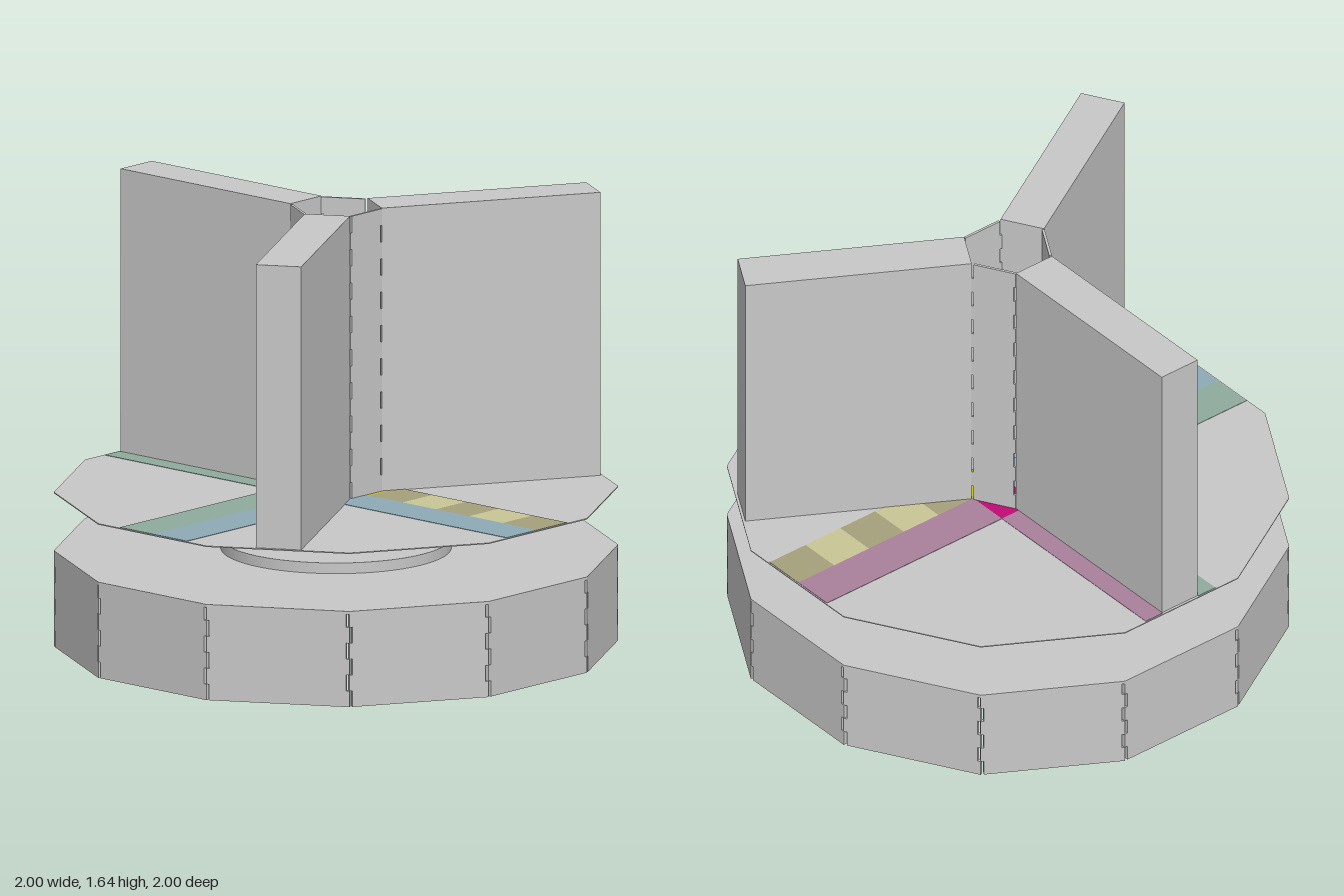
import * as THREE from 'three';

const paint = (name, color) => {
  const m = new THREE.MeshStandardMaterial({ color });
  m.name = name;
  return m;
};

export function createModel() {
  const root = new THREE.Group();
  const grey = paint('board grey', 0xc8c8c8);
  const green = paint('muted green', 0x8fac9d);
  const pink = paint('muted pink', 0xa9809a);
  const blue = paint('muted blue', 0x8eabb6);
  const sand = paint('light sand', 0xc9c595);
  const olive = paint('dark sand', 0xa5a07a);
  const magenta = paint('bright magenta', 0xbf0c75);
  const yellow = paint('bright yellow', 0xc8be12);

  const add = (name, geometry, material, parent = root) => {
    const mesh = new THREE.Mesh(geometry, material);
    mesh.name = name;
    parent.add(mesh);
    return mesh;
  };
  const box = (x0, x1, y0, y1, z0, z1) =>
    new THREE.BoxGeometry(x1 - x0, y1 - y0, z1 - z0)
      .translate((x0 + x1) / 2, (y0 + y1) / 2, (z0 + z1) / 2);

  // Flat-sided twelve-cornered plate with its flats facing the axes
  const twelveSided = (y0, y1) => {
    const g = new THREE.CylinderGeometry(1.035, 1.035, y1 - y0, 12)
      .rotateY(Math.PI / 12).translate(0, (y0 + y1) / 2, 0).toNonIndexed();
    g.computeVertexNormals();
    return g;
  };

  // Upright panel with interlocking fingers on both edges; outer face at z = 0
  const fingerPanel = (width, y0, y1, bands, cut, depth) => {
    const s = new THREE.Shape();
    const h = (y1 - y0) / bands, w = width / 2;
    const right = (i) => w - (i % 2 ? cut : 0);
    const left = (i) => -w + (i % 2 ? 0 : cut);
    s.moveTo(left(0), y0);
    for (let i = 0; i < bands; i++) {
      s.lineTo(right(i), y0 + i * h);
      s.lineTo(right(i), y0 + (i + 1) * h);
    }
    for (let i = bands - 1; i >= 0; i--) {
      s.lineTo(left(i), y0 + (i + 1) * h);
      s.lineTo(left(i), y0 + i * h);
    }
    return new THREE.ExtrudeGeometry(s, { depth, bevelEnabled: false }).translate(0, 0, -depth);
  };

  // Base: open underneath, twelve finger-jointed sides and a lid
  const side = fingerPanel(0.536, 0, 0.36, 6, 0.012, 0.015).translate(0, 0, 1);
  for (let i = 0; i < 12; i++) {
    add('baseSide', side, grey).rotation.y = (i * Math.PI) / 6;
  }
  add('baseLid', twelveSided(0.348, 0.36), grey);
  add('turntable', new THREE.CylinderGeometry(0.423, 0.423, 0.04, 64).translate(0, 0.38, 0), grey);

  // Stage plate
  add('stagePlate', twelveSided(0.576, 0.58), grey);

  // Floor markings, visible from both faces of the plate
  const mark = (name, x0, x1, z0, z1, material) =>
    add(name, box(x0, x1, 0.5745, 0.5815, z0, z1), material);
  const a = 0.165, e = 0.995;
  mark('greenBackStripe', -a, -0.085, -e, -a, green);
  mark('greenSideStripe', -e, -a, -a, 0, green);
  mark('greenCorner', -a, -0.085, -a, 0, green);
  mark('pinkBackStripe', 0.085, a, -e, -a, pink);
  mark('pinkSideStripe', a, e, -a, 0, pink);
  mark('blueSideStripe', -e, -a, 0, a, blue);
  mark('blueFrontStripe', -a, 0, a, e, blue);
  mark('blueCorner', -a, 0, 0, a, blue);
  mark('blueCentre', -0.085, 0, -a, 0, blue);
  mark('magentaCentre', 0, a, -a, 0, magenta);
  mark('yellowCentre', 0, a, 0, a, yellow);
  for (let i = 1; i < 6; i++) {
    const m = i % 2 ? olive : sand;
    const end = i === 5 ? e : (i + 1) * a;
    mark('sideCheck', i * a, end, 0, a, m);
    mark('frontCheck', 0, a, i * a, end, m);
  }

  // Three hollow-hub walls, each with tabs that pass through the plate
  const wall = box(-0.085, 0.085, 0.58, 1.645, -0.99, -0.149);
  const hubPanel = fingerPanel(0.172, 0.58, 1.643, 17, 0.008, 0.01).translate(0, 0, 0.15);
  for (let k = 0; k < 3; k++) {
    const arm = new THREE.Group();
    arm.name = 'dividerArm';
    arm.rotation.y = (k * Math.PI * 2) / 3;
    root.add(arm);
    add('dividerWall', wall, grey, arm);
    add('hubPanel', hubPanel, grey, arm);
    add('hubTab', box(-0.045, 0.045, 0.55, 0.576, 0.138, 0.15), grey, arm);
    for (const r of [0.31, 0.485, 0.655, 0.825]) {
      for (const s of [-1, 1]) {
        add('wallTab', box(s * 0.079 - 0.006, s * 0.079 + 0.006, 0.55, 0.576, -r - 0.043, -r + 0.043), grey, arm);
      }
    }
  }
  return root;
}
